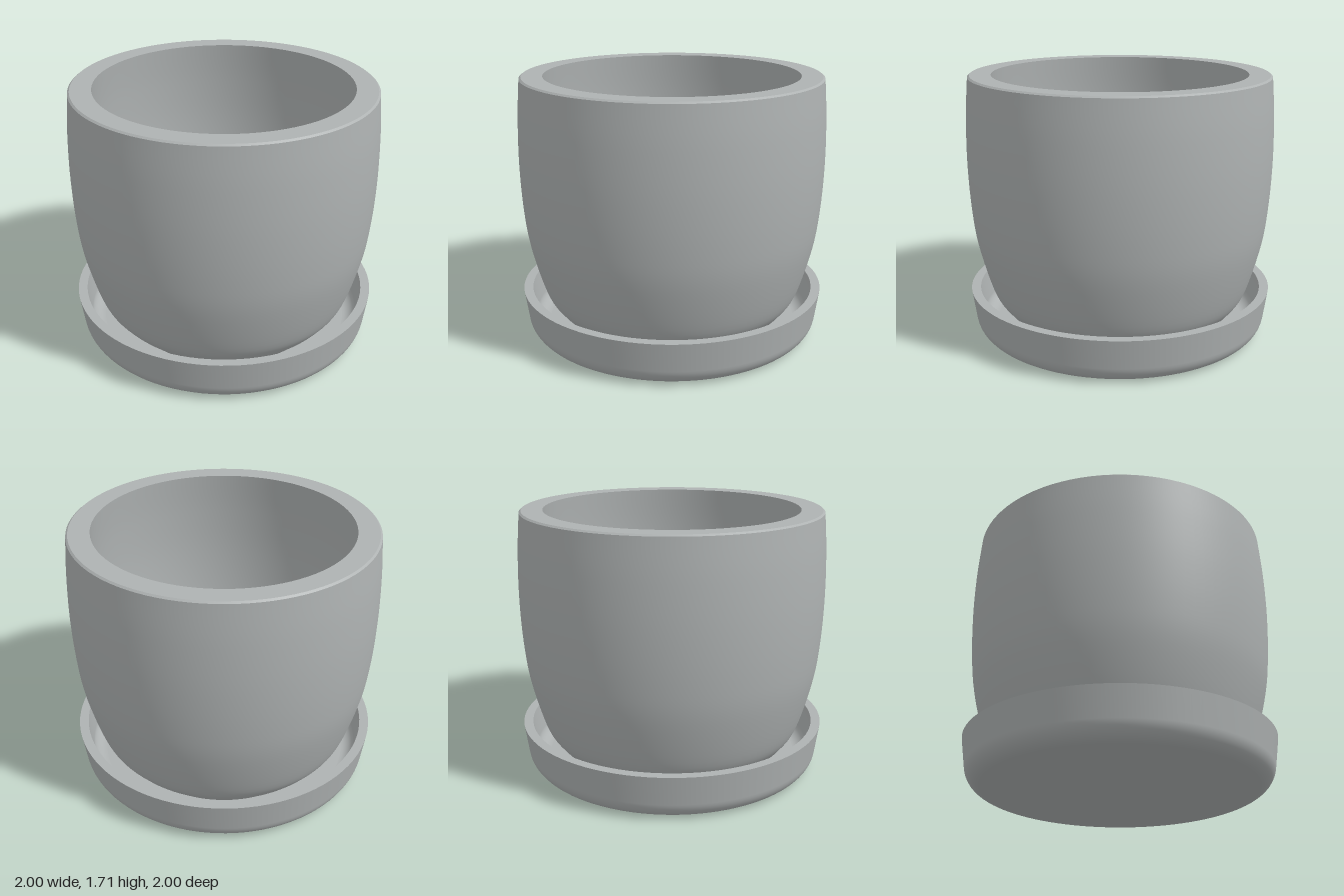
import * as THREE from 'three';
import { mergeGeometries } from 'three/addons/utils/BufferGeometryUtils.js';

const SIDES = 96;
const v = (r, y) => new THREE.Vector2(r, y);

// Each run is turned separately, so the edges between runs stay crisp.
function turned(name, runs, material) {
  const parts = runs.map((run) => new THREE.LatheGeometry(run, SIDES));
  const mesh = new THREE.Mesh(mergeGeometries(parts), material);
  mesh.name = name;
  return mesh;
}

// Smooth profile through a few [radius, height] points.
function curve(points, steps) {
  return new THREE.SplineCurve(points.map(([r, y]) => v(r, y))).getPoints(steps);
}

// Quarter-round corner from a to b, pulled towards the given corner.
function fillet(a, corner, b) {
  return new THREE.CubicBezierCurve(
    a, a.clone().lerp(corner, 0.55), b.clone().lerp(corner, 0.55), b
  ).getPoints(10);
}

export function createModel() {
  const model = new THREE.Group();
  model.name = 'planter';
  const ceramic = new THREE.MeshStandardMaterial({ color: 0xaeb2b2 });
  ceramic.name = 'grey ceramic';

  // Saucer: flat base, rounded foot, flared wall, flat rim and rounded inside
  const saucer = turned('saucer', [
    [v(0, 0), v(0.86, 0)],
    [...fillet(v(0.86, 0), v(0.96, 0), v(0.973, 0.11)), v(1, 0.3)],
    [v(1, 0.3), v(0.94, 0.3)],
    [v(0.94, 0.3), ...fillet(v(0.915, 0.13), v(0.905, 0.06), v(0.83, 0.06))],
    [v(0.83, 0.06), v(0, 0.06)],
  ], ceramic);

  // Pot: bellied wall, chamfered rim, hollow inside and an open drain hole
  const outer = [[0.7, 0.1], [0.78, 0.18], [0.855, 0.3], [0.94, 0.6], [0.975, 0.85],
    [0.99, 1.15], [0.985, 1.45], [0.967, 1.7]];
  const inner = [[0.82, 1.71], [0.84, 1.45], [0.845, 1.15], [0.825, 0.85], [0.785, 0.58],
    [0.735, 0.38], [0.67, 0.26], [0.58, 0.22]];
  const hole = 0.065;
  const pot = turned('pot', [
    [v(hole, 0.06), v(0.66, 0.06)],
    [v(0.66, 0.06), ...curve(outer, 40)],
    [v(0.967, 1.7), v(0.955, 1.71)],
    [v(0.955, 1.71), v(0.82, 1.71)],
    curve(inner, 40),
    [v(0.58, 0.22), v(hole, 0.22)],
    [v(hole, 0.22), v(hole, 0.06)],
  ], ceramic);

  model.add(saucer, pot);
  return model;
}
